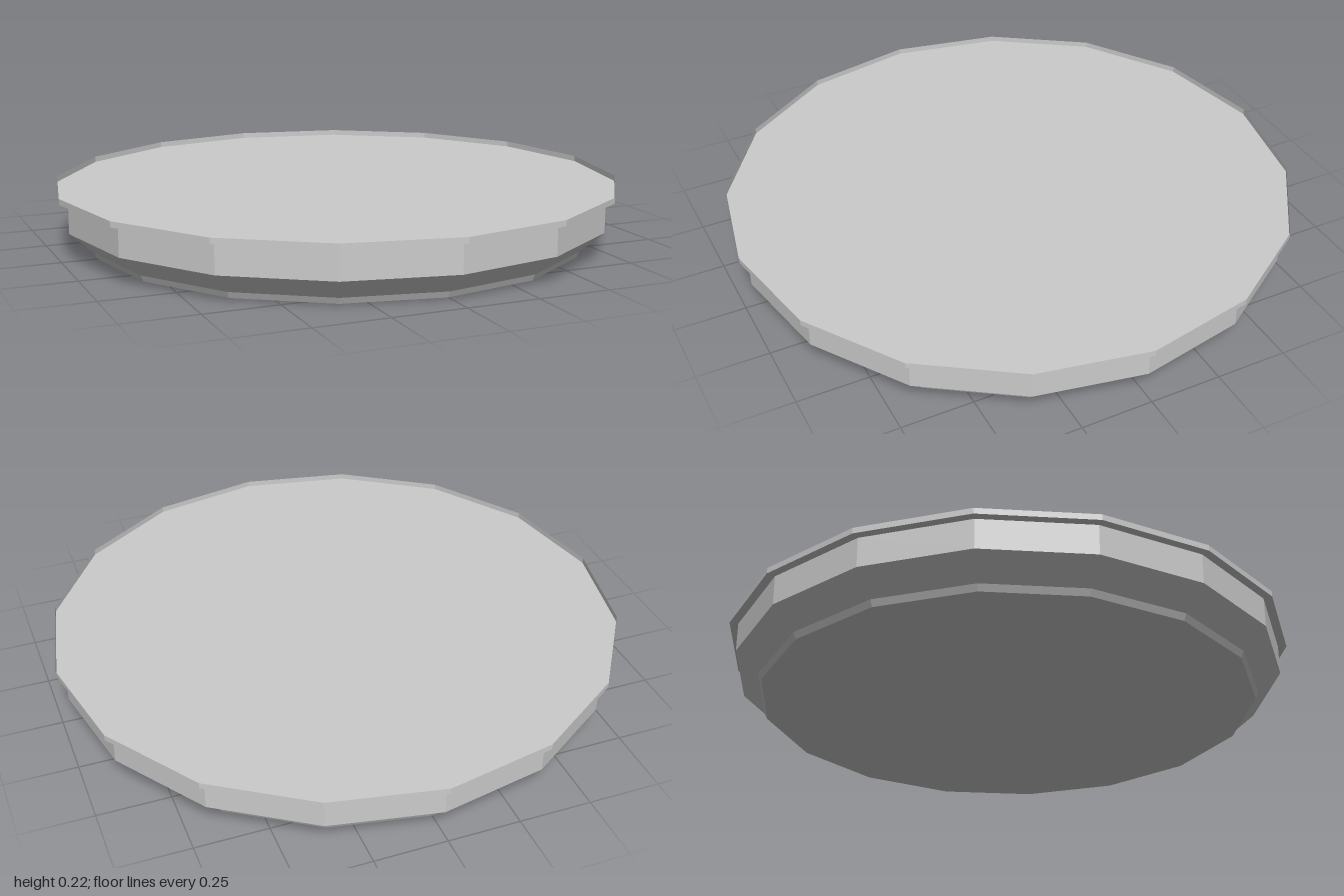
import * as THREE from 'three';

const SIDES = 16;

// Faceted ring or dish turned from [radius, height] pairs
function turned(name, profile) {
  const points = profile.map(([r, y]) => new THREE.Vector2(r, y));
  const material = new THREE.MeshStandardMaterial({
    color: 0xcccccc, flatShading: true, side: THREE.DoubleSide,
  });
  const mesh = new THREE.Mesh(new THREE.LatheGeometry(points, SIDES), material);
  mesh.name = name;
  return mesh;
}

export function createModel() {
  const group = new THREE.Group();
  group.name = 'shallowDish';

  // Closed base, foot, sloping underside and upright side
  group.add(turned('body', [[0, 0], [0.877, 0], [0.888, 0.022], [0.97, 0.095], [0.97, 0.198]]));

  // Flat top plate with a thin raised lip around its edge
  group.add(turned('topPlate', [[1, 0.198], [0, 0.198]]));
  group.add(turned('lip', [[1, 0.198], [1, 0.218]]));

  return group;
}
